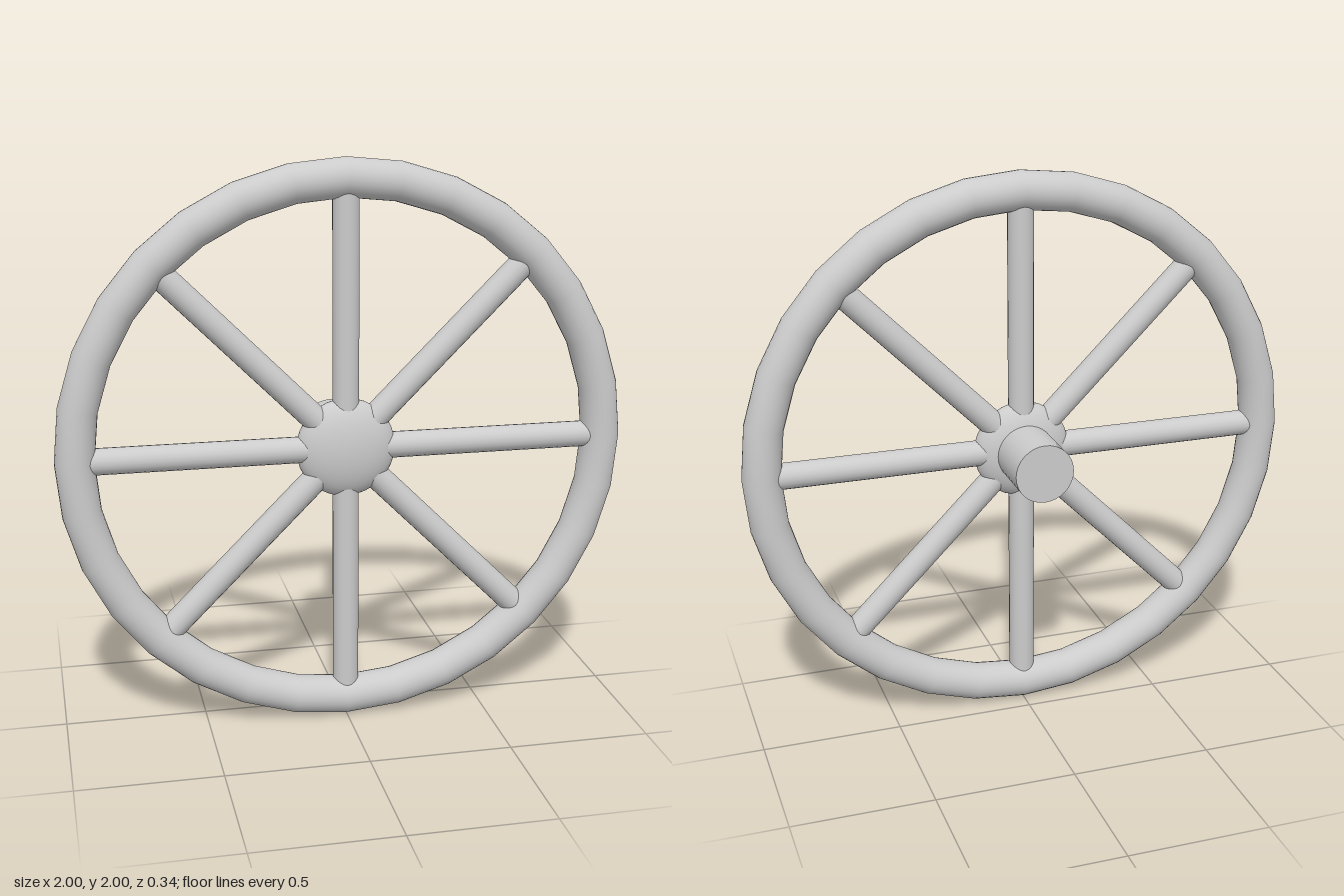
import * as THREE from 'three';

export function createModel() {
  const model = new THREE.Group();
  const material = new THREE.MeshStandardMaterial({ color: 0xcccccc });
  const rimRadius = 0.932, spokeCount = 8;

  const add = (name, geometry, parent) => {
    const mesh = new THREE.Mesh(geometry, material);
    mesh.name = name;
    parent.add(mesh);
    return mesh;
  };

  // Wheel: upright, facing +z, set forward of the axle's back end
  const wheel = new THREE.Group();
  wheel.name = 'wheel';
  wheel.position.set(0, 1, 0.095);
  model.add(wheel);

  // Round rim
  add('rim', new THREE.TorusGeometry(rimRadius, 0.068, 24, 32), wheel);

  // Flattened ball hub
  add('hub', new THREE.SphereGeometry(0.175, 32, 24).rotateX(Math.PI / 2).scale(1, 1, 0.44), wheel);

  // Spokes from the hub centre to the middle of the rim
  const spokeGeometry = new THREE.CylinderGeometry(0.046, 0.046, rimRadius, 20)
    .translate(0, rimRadius / 2, 0);
  for (let i = 0; i < spokeCount; i++) {
    add(`spoke${i + 1}`, spokeGeometry, wheel).rotation.z = (i / spokeCount) * Math.PI * 2;
  }

  // Axle stub, projecting backwards from the hub
  add('axle', new THREE.CylinderGeometry(0.105, 0.105, 0.267, 32)
    .rotateX(Math.PI / 2).translate(0, 0, -0.1335), wheel);

  return model;
}
